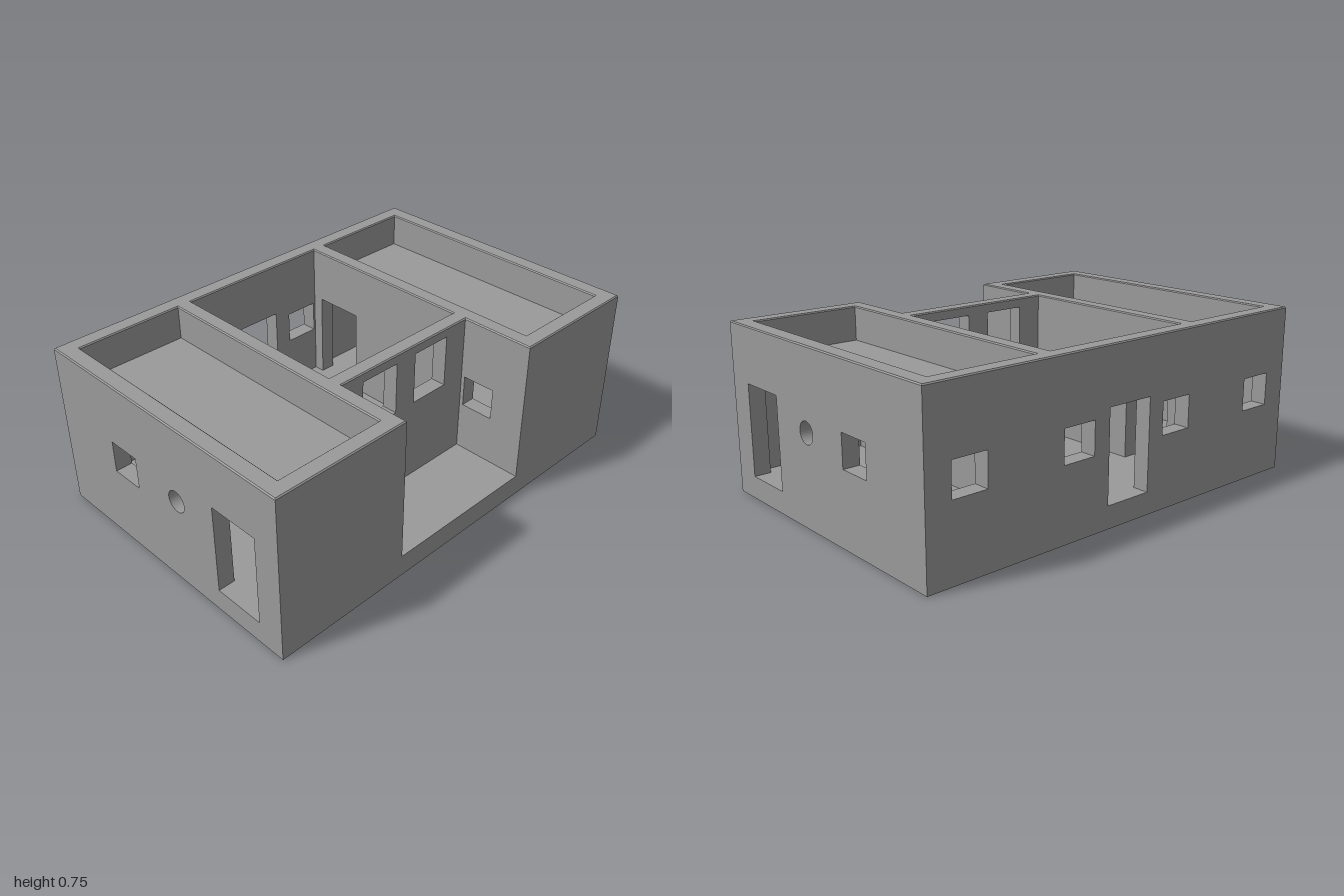
import * as THREE from 'three';

// Overall measures
const X = 1, Z = 0.673, TOP = 0.755, FLOOR = 0.1, ROOF = 0.6, CEIL = 0.53;
const BEVEL = 0.005, WALL_TOP = TOP - BEVEL; // small chamfer along the wall tops
const WING_IN = 0.435, WING_OUT = 0.925, ROOM_Z = 0.6; // wing rooms
const HALL_X = 0.365, HALL_FRONT = 0.265, PORCH_BACK = 0.335; // hall and porch

const material = new THREE.MeshStandardMaterial({ color: 0x9a9a9a, side: THREE.DoubleSide, flatShading: true });

function add(parent, name, geometry) {
  const mesh = new THREE.Mesh(geometry, material);
  mesh.name = name;
  parent.add(mesh);
  return mesh;
}

// Openings: a runs along the wall, y is up
const rect = (a0, a1, y0, y1) => ({ a0, a1, y0, y1 });
const porthole = (a, y, r) => ({ ...rect(a - r, a + r, y - r, y + r), r });
const mirrored = (o) => rect(-o.a1, -o.a0, o.y0, o.y1);

function rectPath(a0, a1, b0, b1) {
  const path = new THREE.Path();
  path.moveTo(a0, b0);
  path.lineTo(a1, b0);
  path.lineTo(a1, b1);
  path.lineTo(a0, b1);
  path.closePath();
  return path;
}

// Wall face with openings; those reaching its foot become notches
function faceGeometry(a0, a1, y0, y1, openings) {
  const shape = new THREE.Shape();
  shape.moveTo(a0, y0);
  const sorted = [...openings].sort((p, q) => p.a0 - q.a0);
  for (const o of sorted) {
    if (o.y0 > y0 + 1e-4) continue;
    shape.lineTo(o.a0, y0);
    shape.lineTo(o.a0, o.y1);
    shape.lineTo(o.a1, o.y1);
    shape.lineTo(o.a1, y0);
  }
  shape.lineTo(a1, y0);
  shape.lineTo(a1, y1);
  shape.lineTo(a0, y1);
  shape.closePath();
  for (const o of sorted) {
    if (o.y0 <= y0 + 1e-4) continue;
    shape.holes.push(o.r
      ? new THREE.Path().absarc((o.a0 + o.a1) / 2, (o.y0 + o.y1) / 2, o.r, 0, Math.PI * 2)
      : rectPath(o.a0, o.a1, o.y0, o.y1));
  }
  return new THREE.ShapeGeometry(shape, 16);
}

// Four-sided or round lining between the two faces of a wall
function revealGeometry(o, p0, p1) {
  const g = o.r
    ? new THREE.CylinderGeometry(0.5, 0.5, 1, 32, 1, true)
    : new THREE.CylinderGeometry(Math.SQRT1_2, Math.SQRT1_2, 1, 4, 1, true, Math.PI / 4);
  g.rotateX(Math.PI / 2);
  g.scale(o.a1 - o.a0, o.y1 - o.y0, Math.abs(p1 - p0));
  return g.translate((o.a0 + o.a1) / 2, (o.y0 + o.y1) / 2, (p0 + p1) / 2);
}

// Wall across 'x' or 'z'. Faces are [position, a0, a1, y0, y1, openings];
// reveals are [opening, from, to]
function wall(parent, name, axis, faces, reveals = []) {
  const group = new THREE.Group();
  group.name = name;
  const sign = axis === 'x' ? -1 : 1;
  if (axis === 'x') group.rotation.y = -Math.PI / 2;
  for (const [pos, a0, a1, y0, y1, openings = []] of faces) {
    add(group, name + 'Face', faceGeometry(a0, a1, y0, y1, openings)).position.z = sign * pos;
  }
  for (const [o, p0, p1] of reveals) add(group, 'openingReveal', revealGeometry(o, sign * p0, sign * p1));
  parent.add(group);
}

function slab(parent, name, x0, x1, z0, z1, y) {
  const g = new THREE.PlaneGeometry(x1 - x0, z1 - z0).rotateX(-Math.PI / 2);
  add(parent, name, g).position.set((x0 + x1) / 2, y, (z0 + z1) / 2);
}

export function createModel() {
  const house = new THREE.Group();
  house.name = 'house';

  // Openings
  const sideOpenings = [
    rect(0.313, 0.548, FLOOR, 0.508), porthole(0.09, 0.405, 0.048), rect(-0.322, -0.165, 0.325, 0.47),
  ];
  const porchSideWindow = rect(0.353, 0.508, 0.325, 0.47);
  const innerDoor = rect(-0.55, -0.315, FLOOR, 0.508);
  const backDoor = rect(-0.114, 0.114, FLOOR, 0.505);
  const hallWindow = rect(0.195, 0.355, 0.325, 0.47);
  const wingWindow = rect(0.725, 0.885, 0.325, 0.47);
  const porchWindow = rect(0.055, 0.248, 0.475, 0.712);

  // Wings, one on each side
  for (const s of [1, -1]) {
    const wing = new THREE.Group();
    wing.name = s > 0 ? 'leftWing' : 'rightWing';
    house.add(wing);
    const [x0, x1] = s > 0 ? [WING_IN, WING_OUT] : [-WING_OUT, -WING_IN];
    const [f0, f1] = s > 0 ? [HALL_X, X] : [-X, -HALL_X];

    wall(wing, 'sideWall', 'x', [
      [s * X, -Z, Z, 0, WALL_TOP, sideOpenings],
      [s * WING_OUT, -ROOM_Z, ROOM_Z, FLOOR, CEIL, sideOpenings],
    ], sideOpenings.map((o) => [o, s * X, s * WING_OUT]));
    // Inner wall: one room face, backed by a porch face and a hall face
    wall(wing, 'innerWall', 'x', [
      [s * WING_IN, -ROOM_Z, ROOM_Z, FLOOR, CEIL, [innerDoor, porchSideWindow]],
      [s * HALL_X, PORCH_BACK, Z, FLOOR, WALL_TOP, [porchSideWindow]],
      [s * HALL_X, -ROOM_Z, HALL_FRONT, FLOOR, WALL_TOP, [innerDoor]],
    ], [innerDoor, porchSideWindow].map((o) => [o, s * HALL_X, s * WING_IN]));
    wall(wing, 'frontWall', 'z', [[Z, f0, f1, 0, WALL_TOP], [ROOM_Z, x0, x1, FLOOR, CEIL]]);

    // Sunken flat roof with parapet
    wall(wing, 'sideParapet', 'x', [x0, x1].map((x) => [x, -ROOM_Z, ROOM_Z, ROOF, WALL_TOP]));
    wall(wing, 'endParapet', 'z', [-ROOM_Z, ROOM_Z].map((z) => [z, x0, x1, ROOF, WALL_TOP]));
    slab(wing, 'wingRoof', x0, x1, -ROOM_Z, ROOM_Z, ROOF);
    slab(wing, 'wingCeiling', x0, x1, -ROOM_Z, ROOM_Z, CEIL);
    slab(wing, 'wingFloor', x0, x1, -ROOM_Z, ROOM_Z, FLOOR);
  }

  // Back wall: one outer face, three room faces
  const hallOpenings = [backDoor, hallWindow, mirrored(hallWindow)];
  const backOpenings = [...hallOpenings, wingWindow, mirrored(wingWindow)];
  wall(house, 'backWall', 'z', [
    [-Z, -X, X, 0, WALL_TOP, backOpenings],
    [-ROOM_Z, -HALL_X, HALL_X, FLOOR, WALL_TOP, hallOpenings],
    [-ROOM_Z, WING_IN, WING_OUT, FLOOR, CEIL, [wingWindow]],
    [-ROOM_Z, -WING_OUT, -WING_IN, FLOOR, CEIL, [mirrored(wingWindow)]],
  ], backOpenings.map((o) => [o, -Z, -ROOM_Z]));

  // Wall between the open hall and the porch
  const porchWindows = [porchWindow, mirrored(porchWindow)];
  wall(house, 'porchWall', 'z',
    [PORCH_BACK, HALL_FRONT].map((z) => [z, -HALL_X, HALL_X, FLOOR, WALL_TOP, porchWindows]),
    porchWindows.map((o) => [o, PORCH_BACK, HALL_FRONT]));
  wall(house, 'porchStep', 'z', [[Z, -HALL_X, HALL_X, 0, FLOOR]]);
  slab(house, 'hallFloor', -HALL_X, HALL_X, -ROOM_Z, HALL_FRONT, FLOOR);
  slab(house, 'porchFloor', -HALL_X, HALL_X, PORCH_BACK, Z, FLOOR);

  // Chamfered tops of all walls, drawn in plan (shape y = -z)
  const plan = new THREE.Shape([
    [-X, -Z], [-HALL_X, -Z], [-HALL_X, -PORCH_BACK], [HALL_X, -PORCH_BACK],
    [HALL_X, -Z], [X, -Z], [X, Z], [-X, Z],
  ].map(([x, y]) => new THREE.Vector2(x, y)));
  plan.holes.push(
    rectPath(-WING_OUT, -WING_IN, -ROOM_Z, ROOM_Z),
    rectPath(-HALL_X, HALL_X, -HALL_FRONT, ROOM_Z),
    rectPath(WING_IN, WING_OUT, -ROOM_Z, ROOM_Z),
  );
  const cap = new THREE.ExtrudeGeometry(plan, {
    depth: 0.001, bevelSegments: 1, bevelSize: BEVEL, bevelThickness: BEVEL, bevelOffset: -BEVEL,
  });
  add(house, 'wallTops', cap.rotateX(-Math.PI / 2)).position.y = WALL_TOP - 0.001;

  return house;
}
